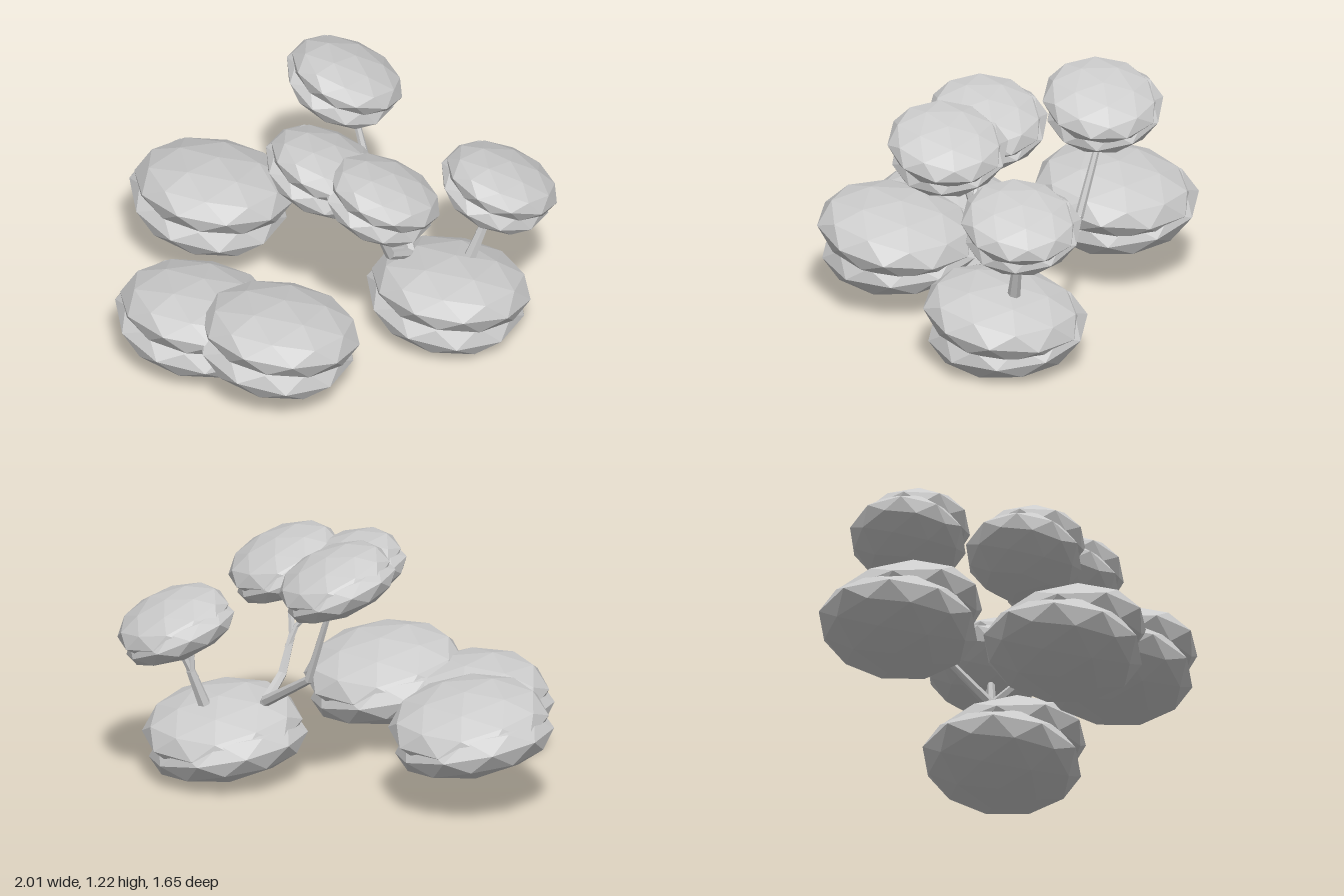
import * as THREE from 'three';

const material = new THREE.MeshStandardMaterial({ color: 0xcccccc, flatShading: true });

// Faceted ball with a vertex at the top
const ball = new THREE.IcosahedronGeometry(1, 1).rotateZ(-0.5536);

// One flattened lobe of a foliage clump
function lobe(name, position, [tiltX, tiltZ], turn) {
  const mesh = new THREE.Mesh(ball.clone().rotateY(turn), material);
  mesh.name = name;
  mesh.scale.set(0.368, 0.15, 0.368);
  mesh.position.set(...position);
  mesh.rotation.set(tiltX, 0, tiltZ);
  return mesh;
}

// A clump is two overlapping lobes that meet at the back and part at the front
function clump(name, position, size, lean) {
  const group = new THREE.Group();
  group.name = name;
  group.add(lobe('upperLobe', [0.008, 0.043, 0.014], [-0.09, 0.03], 0.3));
  group.add(lobe('lowerLobe', [-0.01, -0.043, -0.012], [0.13, -0.05], 0.95));
  group.position.set(...position);
  group.scale.setScalar(size);
  group.rotation.set(-0.07, 0, lean);
  return group;
}

// Tapered branch through points, each given as [x, y, z, radius]
function branch(name, points) {
  const rings = points.length, sides = 6;
  const centres = points.map(([x, y, z]) => new THREE.Vector3(x, y, z));
  const positions = [], index = [];
  for (let i = 0; i < rings; i++) {
    const dir = centres[Math.min(i + 1, rings - 1)].clone().sub(centres[Math.max(i - 1, 0)]).normalize();
    const turn = new THREE.Quaternion().setFromUnitVectors(new THREE.Vector3(0, 1, 0), dir);
    for (let j = 0; j < sides; j++) {
      const a = (j / sides) * Math.PI * 2, r = points[i][3];
      const p = new THREE.Vector3(Math.sin(a) * r, 0, Math.cos(a) * r).applyQuaternion(turn).add(centres[i]);
      positions.push(p.x, p.y, p.z);
      if (i < rings - 1) {
        const k = (j + 1) % sides, b = i * sides, t = b + sides;
        index.push(b + j, b + k, t + k, b + j, t + k, t + j);
      }
    }
  }
  const geometry = new THREE.BufferGeometry();
  geometry.setAttribute('position', new THREE.Float32BufferAttribute(positions, 3));
  geometry.setIndex(index);
  geometry.computeVertexNormals();
  const mesh = new THREE.Mesh(geometry, material);
  mesh.name = name;
  return mesh;
}

export function createModel() {
  const model = new THREE.Group();
  model.name = 'bonsaiFoliage';

  // Large low shrubs
  const shrubs = {
    backShrub: [-0.625, 0.368, -0.465],
    sideShrub: [-0.57, 0.238, 0.28],
    frontShrub: [-0.17, 0.3, 0.465],
    baseShrub: [0.52, 0.204, -0.12],
  };
  for (const [name, p] of Object.entries(shrubs)) model.add(clump(name, p, 1, -0.14));

  // Small clumps carried by the branches
  const crowns = {
    backCrown: [-0.02, 1.062, -0.49],
    middleCrown: [-0.03, 0.945, 0.04],
    frontCrown: [0.26, 0.922, 0.18],
    sideCrown: [0.733, 0.75, -0.225],
  };
  for (const [name, p] of Object.entries(crowns)) model.add(clump(name, p, 0.73, -0.37));

  // Branches rising out of the base shrub
  model.add(
    branch('backBranch', [[0.37, 0.28, -0.13, 0.03], [0.33, 0.39, -0.18, 0.026], [0.12, 0.57, -0.4, 0.021], [0.01, 0.96, -0.49, 0.014]]),
    branch('frontBranch', [[0.37, 0.28, -0.19, 0.03], [0.33, 0.38, -0.13, 0.026], [0.27, 0.46, 0.0, 0.022], [0.23, 0.63, 0.07, 0.017], [0.25, 0.88, 0.14, 0.011]]),
    branch('middleFork', [[0.25, 0.57, 0.045, 0.016], [0.21, 0.67, 0.065, 0.013], [0.0, 0.9, 0.05, 0.009]]),
    branch('sideBranch', [[0.58, 0.28, -0.16, 0.034], [0.67, 0.53, -0.195, 0.022], [0.67, 0.75, -0.2, 0.012]]),
    branch('sideFork', [[0.65, 0.49, -0.19, 0.02], [0.69, 0.58, -0.205, 0.017], [0.76, 0.73, -0.23, 0.011]]),
  );
  return model;
}
